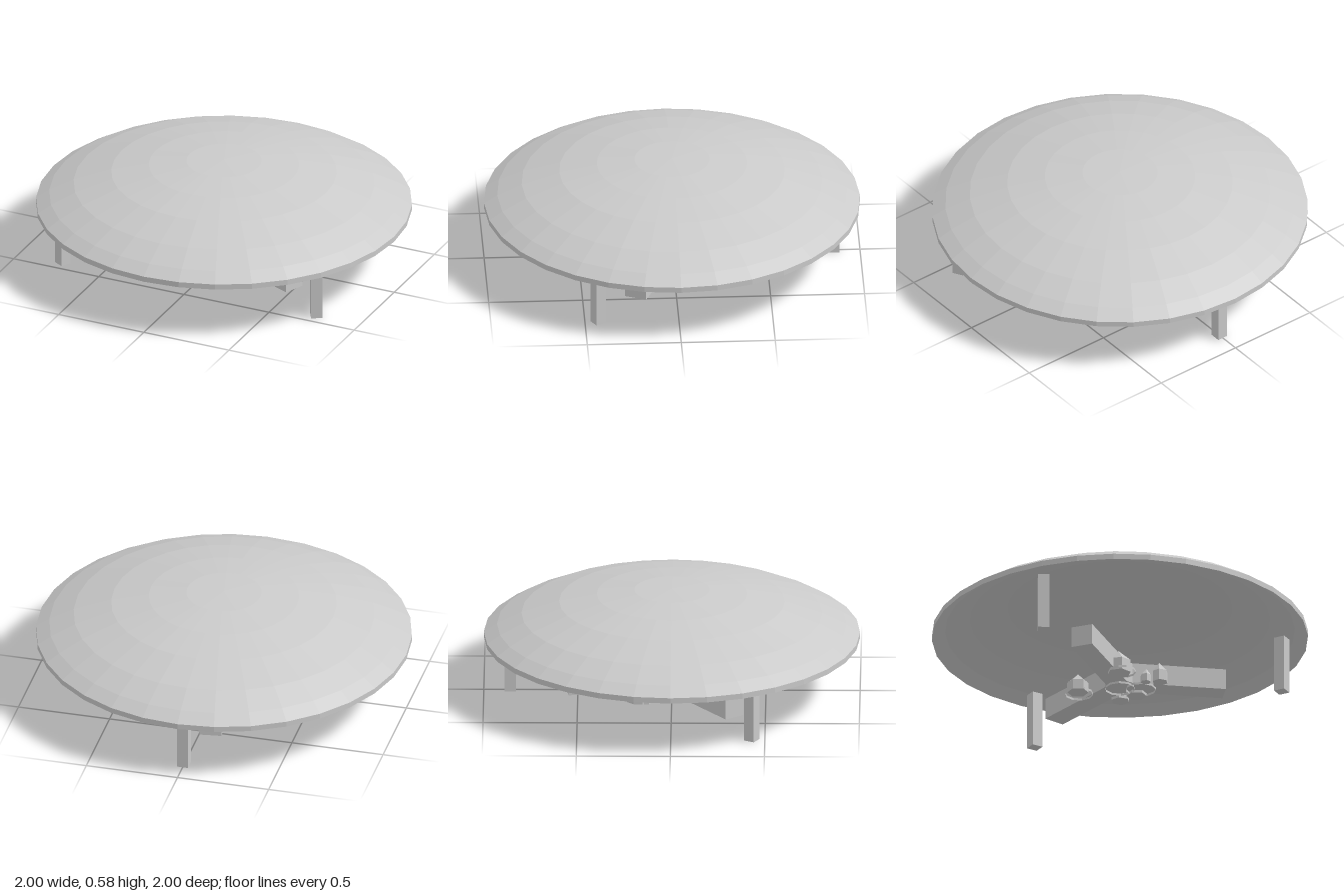
import * as THREE from 'three';

export function createModel() {
  const model = new THREE.Group();
  model.name = 'campfireShelter';
  const grey = new THREE.MeshStandardMaterial({ color: 0xcacaca, flatShading: true, side: THREE.DoubleSide });
  grey.name = 'plain grey';

  function add(parent, name, geometry, x = 0, y = 0, z = 0, turn = 0) {
    const mesh = new THREE.Mesh(geometry, grey);
    mesh.name = name;
    mesh.position.set(x, y, z);
    mesh.rotation.y = turn;
    parent.add(mesh);
    return mesh;
  }

  // Shallow canopy: the same curve for the underside and, 0.03 higher, the top
  const curve = [[1, 0.3], [0.93, 0.345], [0.8, 0.408], [0.6, 0.475], [0.4, 0.516], [0.2, 0.54], [0, 0.547]];
  const underside = curve.map(([r, y]) => new THREE.Vector2(r, y)).reverse();
  const top = curve.map(([r, y]) => new THREE.Vector2(r, y + 0.03));
  add(model, 'canopy', new THREE.LatheGeometry([...underside, ...top], 32));

  // Three posts on a circle
  const postHeight = 0.31;
  for (let i = 0; i < 3; i++) {
    const a = Math.PI + (i * Math.PI * 2) / 3;
    add(model, 'post', new THREE.BoxGeometry(0.06, postHeight, 0.06),
      Math.sin(a) * 0.86, postHeight / 2, Math.cos(a) * 0.86, -a);
  }

  // Three squared logs crossing a little past the middle
  const inner = -0.08, outer = 0.56;
  for (let i = 0; i < 3; i++) {
    const a = THREE.MathUtils.degToRad(23 + i * 120);
    const middle = (inner + outer) / 2;
    add(model, 'log', new THREE.BoxGeometry(outer - inner, 0.115, 0.118),
      Math.cos(a) * middle, 0.0725, Math.sin(a) * middle, -a);
  }

  // Pointed stones, each a six-sided block with an off-centre peak
  function stoneGeometry(radius, height) {
    const points = [[0, 0], [radius, 0], [radius, height * 0.55], [0, height]]
      .map(([r, y]) => new THREE.Vector2(r, y));
    const geometry = new THREE.LatheGeometry(points, 6);
    const p = geometry.attributes.position;
    for (let i = 0; i < p.count; i++) {
      if (p.getY(i) > height * 0.9) p.setX(i, -radius * 0.2);
    }
    return geometry;
  }
  const stones = new THREE.Group();
  stones.name = 'stones';
  model.add(stones);
  [
    [0.12, -0.025, 0.055, 0.12],
    [0.133, 0.19, 0.042, 0.11],
    [-0.11, 0.17, 0.064, 0.125],
    [-0.17, -0.15, 0.057, 0.1],
    [0.08, -0.125, 0.05, 0.08],
    [0.068, 0.15, 0.028, 0.075],
  ].forEach(([x, z, r, h], i) => add(stones, 'stone', stoneGeometry(r, h), x, 0, z, i * 0.35));

  // Low open rings on the ground around the fire
  const rings = new THREE.Group();
  rings.name = 'groundRings';
  model.add(rings);
  [
    [0, 0, 0.08], [-0.15, -0.17, 0.075], [-0.1, 0.19, 0.07], [0.1, 0.05, 0.08],
  ].forEach(([x, z, r], i) =>
    add(rings, 'groundRing', new THREE.CylinderGeometry(r, r, 0.012, 10, 1, true), x, 0.006, z, i * 0.5));

  return model;
}
